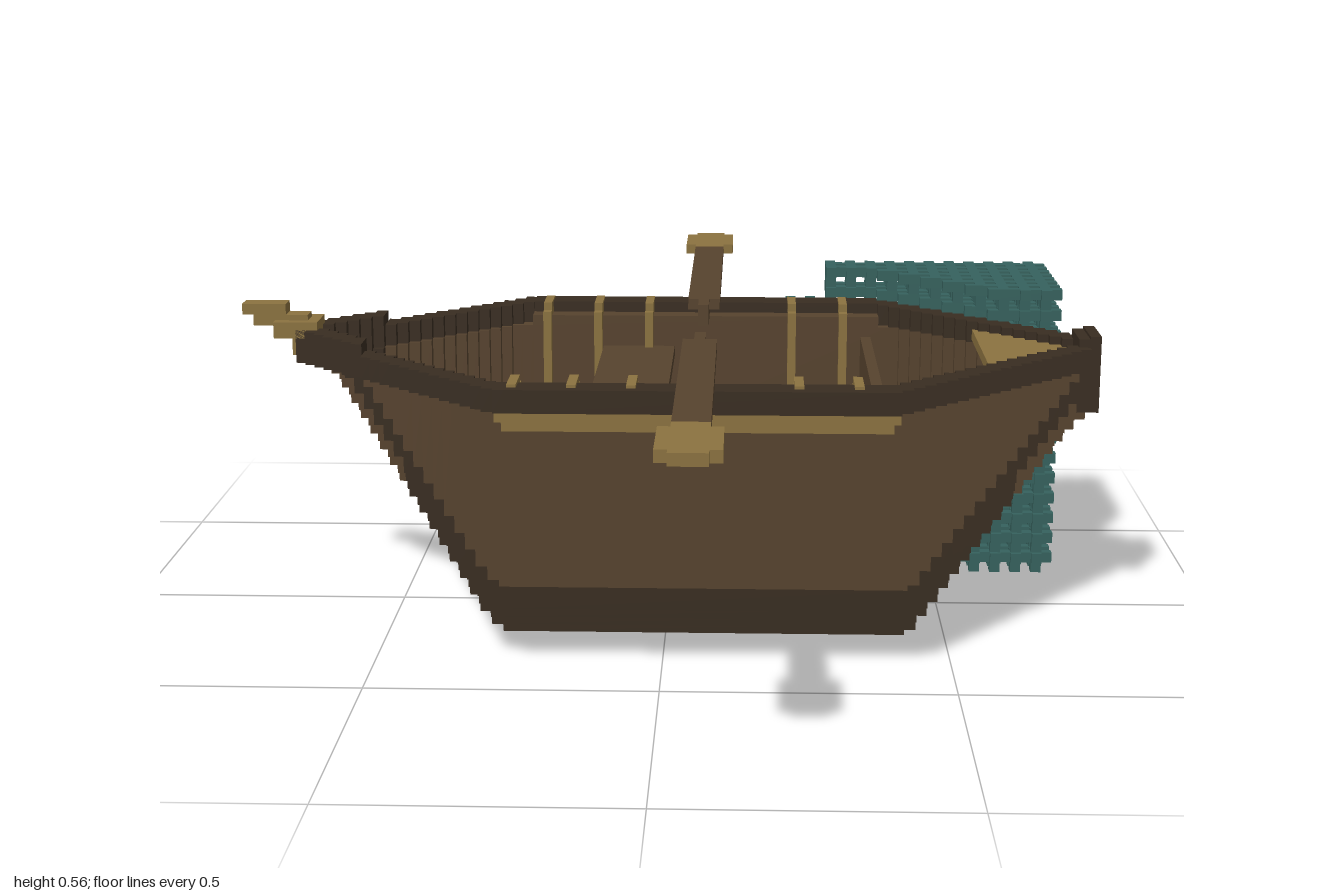
import * as THREE from 'three';
import { mergeGeometries } from 'three/addons/utils/BufferGeometryUtils.js';

export function createModel() {
  const model = new THREE.Group();
  const mat = (name, color) => {
    const m = new THREE.MeshStandardMaterial({ color });
    m.name = name;
    return m;
  };
  const dark = mat('darkWood', 0x392d21);
  const brown = mat('brownWood', 0x57432e);
  const tan = mat('tanWood', 0x8c7340);
  const teal = mat('tealNet', 0x36625e);

  // Collects axis-aligned blocks and merges them into one named mesh
  const part = (name, material) => {
    const list = [];
    const block = (x0, x1, y0, y1, z0, z1) => {
      const g = new THREE.BoxGeometry(x1 - x0, y1 - y0, z1 - z0);
      list.push(g.translate((x0 + x1) / 2, (y0 + y1) / 2, (z0 + z1) / 2));
    };
    return {
      block,
      pair(x0, x1, y0, y1, z0, z1) {
        block(x0, x1, y0, y1, z0, z1);
        block(x0, x1, y0, y1, -z1, -z0);
      },
      done() {
        const mesh = new THREE.Mesh(mergeGeometries(list), material);
        mesh.name = name;
        model.add(mesh);
      },
    };
  };

  // Hull rules: half width, rim half width and underside height along x
  const S = 0.02;
  const half = (x) => Math.max(0.02, Math.min(0.37, 0.80 - x, 0.68 + x));
  const rimHalf = (x) => Math.max(0.03, Math.min(0.43, 0.82 - x, 0.71 + x));
  const keelY = (x) => 0.04 + Math.max(0, (x - 0.42) * 0.97, (-0.28 - x) * 1.2);
  const slices = (from, to, a, b) => {
    const out = [[a, b]];
    for (let x = a; x > from + 0.001; x -= S) out.push([x - S, x]);
    for (let x = b; x < to - 0.001; x += S) out.push([x, x + S]);
    return out;
  };

  // Hull: stepped slices with a chamfered floor and thin walls
  const floor = part('hullFloor', dark);
  const ends = part('hullEndSteps', brown);
  const walls = part('hullWalls', brown);
  const wallFoot = part('hullLowerPlanks', dark);
  for (const [a, b] of slices(-0.66, 0.76, -0.28, 0.42)) {
    const x = (a + b) / 2, w = half(x), y = keelY(x);
    const base = x < -0.47 || x > 0.62 ? ends : floor;
    for (let i = 0; i < 3; i++) {
      const h = Math.max(0.02, w - 0.06 + i * S);
      const top = Math.min(0.49, y + (i + 1) * S);
      if (top > y + i * S) base.block(a, b, y + i * S, top, -h, h);
    }
    const y0 = y + 0.06, y1 = Math.min(0.46, y0 + 0.04);
    if (y0 < 0.46) {
      const inner = Math.max(0, w - 0.04);
      wallFoot.pair(a, b, y0, y1, inner, w);
      if (y1 < 0.46) walls.pair(a, b, y1, 0.46, inner, w);
    }
  }
  [floor, ends, walls, wallFoot].forEach((p) => p.done());

  // Dark rim, raised at both tips
  const rim = part('gunwale', dark);
  for (const [a, b] of slices(-0.68, 0.78, -0.26, 0.38)) {
    const x = (a + b) / 2, r = rimHalf(x);
    const top = x < -0.54 || x > 0.76 ? 0.52 : 0.5;
    rim.pair(a, b, 0.46, top, Math.max(0, r - 0.06), r);
  }
  rim.done();
  const post = part('bowPost', dark);
  post.block(0.74, 0.78, 0.38, 0.515, -0.05, 0.05);
  post.done();

  // Tan rubbing strips outside, brown inner rails
  const strip = part('rubbingStrip', tan);
  strip.pair(-0.28, 0.40, 0.44, 0.46, 0.37, 0.41);
  strip.pair(-0.27, 0.39, 0.42, 0.44, 0.37, 0.39);
  strip.done();
  const rail = part('innerRail', brown);
  rail.pair(-0.28, 0.40, 0.46, 0.48, 0.33, 0.37);
  rail.pair(-0.28, 0.37, 0.32, 0.34, 0.31, 0.33);
  rail.done();

  // Ribs with a knee over the rail
  const ribs = part('ribs', tan);
  for (const x of [-0.25, -0.15, -0.05, 0.23, 0.33]) {
    ribs.pair(x - 0.008, x + 0.008, 0.10, 0.49, 0.31, 0.33);
    ribs.pair(x - 0.008, x + 0.008, 0.48, 0.505, 0.33, 0.41);
  }
  ribs.done();

  // Bench and bulkhead
  const bench = part('bench', brown);
  bench.block(-0.14, 0, 0.40, 0.42, -0.36, 0.36);
  bench.done();
  const bulkhead = part('bulkhead', brown);
  bulkhead.block(0.365, 0.385, 0.10, 0.44, -0.35, 0.35);
  bulkhead.done();

  // Triangular bow deck
  const tri = new THREE.Shape([[0.57, -0.19], [0.76, -0.02], [0.76, 0.02], [0.57, 0.19]]
    .map(([x, z]) => new THREE.Vector2(x, z)));
  const deck = new THREE.Mesh(
    new THREE.ExtrudeGeometry(tri, { depth: 0.02, bevelEnabled: false }).rotateX(-Math.PI / 2), tan);
  deck.position.y = 0.465;
  deck.name = 'bowDeck';
  model.add(deck);

  // Stepped stern ornament
  const ornament = part('sternOrnament', tan);
  ornament.block(-0.78, -0.70, 0.545, 0.565, -0.02, 0.02);
  ornament.block(-0.76, -0.66, 0.525, 0.545, -0.02, 0.02);
  ornament.block(-0.72, -0.64, 0.505, 0.535, -0.04, 0.04);
  ornament.block(-0.69, -0.65, 0.47, 0.51, -0.02, 0.02);
  ornament.done();

  // Oars
  const shafts = part('oarShafts', brown);
  shafts.pair(0.03, 0.09, 0.52, 0.54, 0.19, 0.81);
  shafts.pair(0.05, 0.07, 0.50, 0.52, 0.13, 0.83);
  shafts.pair(0.05, 0.07, 0.52, 0.54, 0.13, 0.19);
  shafts.done();
  const blades = part('oarBlades', tan);
  blades.pair(0.03, 0.09, 0.52, 0.54, 0.81, 0.84);
  blades.pair(0.01, 0.11, 0.52, 0.54, 0.84, 0.98);
  blades.pair(0.03, 0.09, 0.52, 0.54, 0.98, 1.0);
  blades.done();

  // Net: open lattice of crossing bars, cut away where the hull sits
  const net = part('net', teal);
  const line = (from, to) => {
    const out = [];
    for (let v = from; v < to; v += 0.04) out.push(v);
    return out;
  };
  const X = line(0.22, 0.73), Y = line(0.02, 0.54), Z = line(-0.5, -0.2);
  const carve = (x) => Math.min(0.43, 0.82 - x);
  const startX = (y) => (y > 0.49 ? 0.30 : 0.20);
  for (const y of Y) for (const z of Z) {
    const hullX = y > 0.04 && z > -0.43 ? Math.min(0.42 + (y - 0.04) / 0.97, 0.82 + z) : 0;
    const x0 = Math.max(startX(y), hullX);
    if (x0 < 0.72) net.block(x0, 0.74, y, y + S, z, z + S);
  }
  for (const x of X) for (const y of Y) {
    if (x < startX(y)) continue;
    const z1 = y > keelY(x) - S ? Math.min(-0.19, -carve(x)) : -0.19;
    net.block(x, x + S, y, y + S, -0.52, z1);
  }
  for (const x of X) for (const z of Z) {
    const y1 = z + S > -carve(x) ? Math.min(0.54, keelY(x)) : x < 0.30 ? 0.49 : 0.54;
    net.block(x, x + S, 0, y1, z, z + S);
  }
  net.done();

  return model;
}
